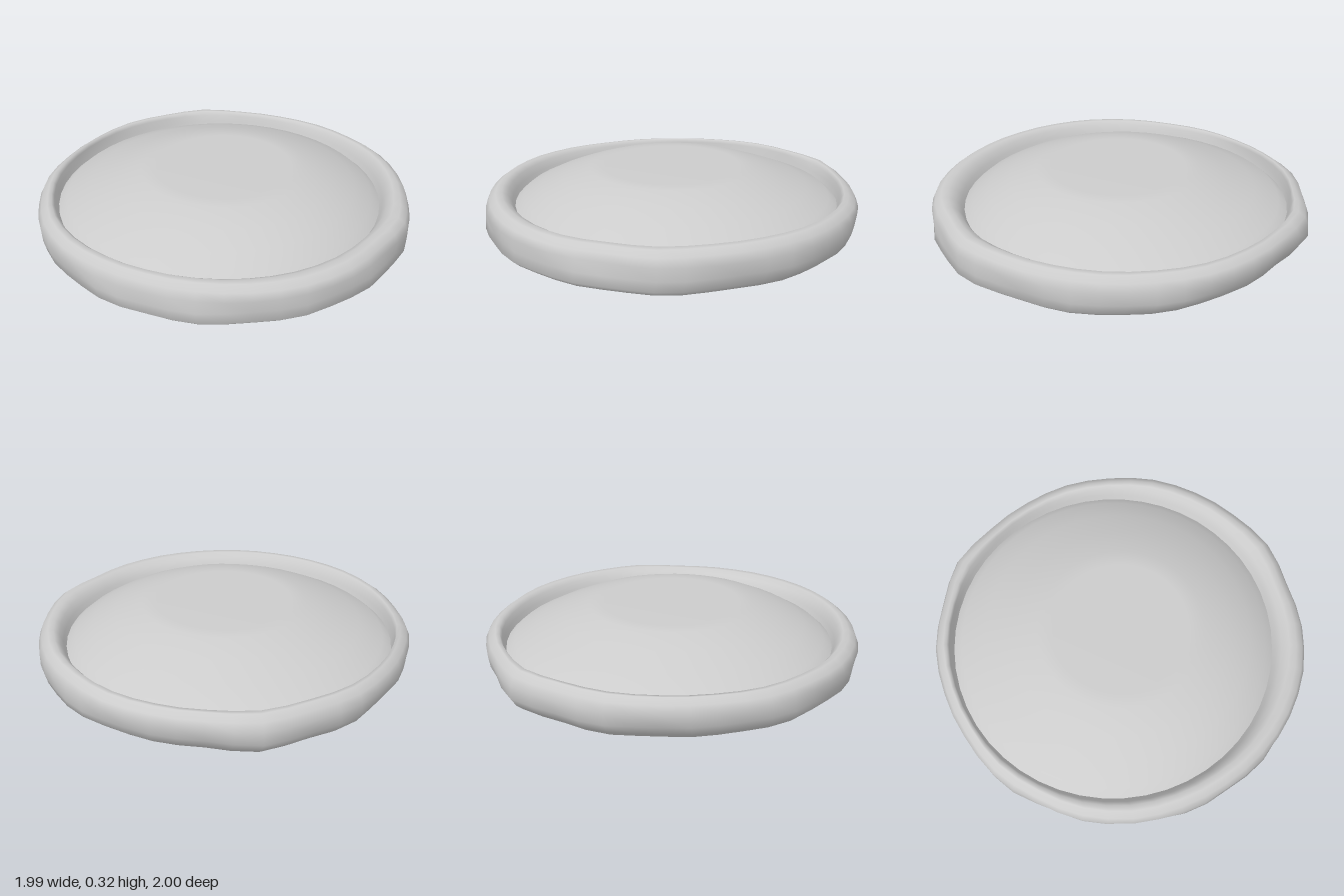
import * as THREE from 'three';
import { mergeVertices } from 'three/addons/utils/BufferGeometryUtils.js';

const material = new THREE.MeshStandardMaterial({ color: 0xcccccc });

// Uneven outer radius, every 15 degrees from +x towards +z
const OUTER = [0.99, 0.985, 0.985, 1.0, 0.975, 0.99, 0.995, 0.99, 0.985, 0.98, 0.985, 0.995,
  0.995, 0.985, 0.99, 0.98, 0.985, 1.0, 0.995, 1.02, 0.99, 0.985, 0.99, 0.985];

function outerRadius(angle) {
  const t = ((angle / (Math.PI * 2) + 1) % 1) * OUTER.length;
  const i = Math.floor(t) % OUTER.length;
  return THREE.MathUtils.lerp(OUTER[i], OUTER[(i + 1) % OUTER.length], t - Math.floor(t));
}

// Hand-formed wobble: uneven outside, off-centre well, small dents low on the wall
function warp(geometry) {
  const p = geometry.attributes.position;
  for (let i = 0; i < p.count; i++) {
    const x = p.getX(i), y = p.getY(i), z = p.getZ(i);
    const r = Math.hypot(x, z), a = Math.atan2(z, x);
    const outer = THREE.MathUtils.smoothstep(r, 0.86, 0.95);
    const well = THREE.MathUtils.smoothstep(r, 0.6, 0.85) * (1 - outer);
    let k = 1 + outer * (outerRadius(a) - 1);
    if (y < 0.1) k += outer * 0.012 * Math.sin(9 * a + 1) * Math.sin(4 * a);
    const low = y < 0.03 ? outer * 0.02 : 0;
    const lift = y > 0.18 && r > 0.85 ? 0.005 * Math.sin(3 * a + 0.5) : 0;
    p.setXYZ(i, x * k - well * 0.01, y + lift, z * k - well * 0.04 + low);
  }
  return geometry;
}

// Smooth turned part from [radius, height] pairs
function turned(name, profile) {
  let g = new THREE.LatheGeometry(profile.map(([r, y]) => new THREE.Vector2(r, y)), 48);
  g.deleteAttribute('uv');
  g.deleteAttribute('normal');
  g = mergeVertices(warp(g), 1e-4);
  g.computeVertexNormals();
  const mesh = new THREE.Mesh(g, material);
  mesh.name = name;
  return mesh;
}

export function createModel() {
  const group = new THREE.Group();
  group.name = 'dish';
  group.add(
    // Flat underside
    turned('base', [[0, 0], [0.5, 0], [0.95, 0]]),
    // Rounded wall with its inner lip
    turned('rim', [[0.95, 0], [0.985, 0.03], [0.998, 0.08], [1.003, 0.145], [0.985, 0.185],
      [0.95, 0.21], [0.92, 0.211], [0.895, 0.19], [0.878, 0.155], [0.865, 0.125]]),
    // Raised, flat-topped centre
    turned('dome', [[0.867, 0.125], [0.82, 0.165], [0.71, 0.218], [0.58, 0.27], [0.44, 0.315],
      [0.36, 0.32], [0, 0.32]])
  );
  return group;
}
